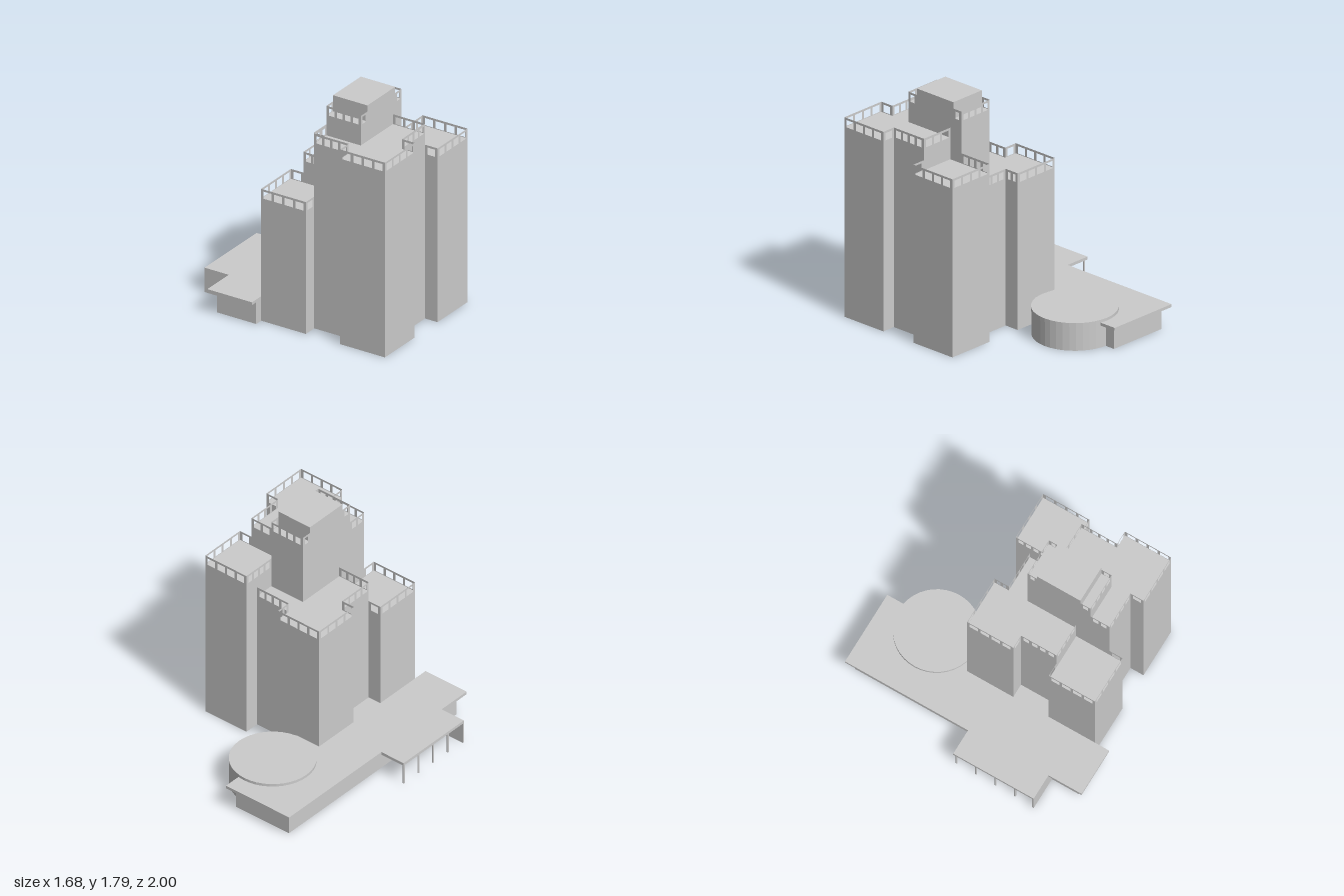
import * as THREE from 'three';

const mat = new THREE.MeshStandardMaterial({ color: 0xcccccc, side: THREE.DoubleSide, flatShading: true });
const RAIL = 0.08; // parapet height above each roof

function add(parent, name, geometry, x = 0, y = 0, z = 0) {
  const mesh = new THREE.Mesh(geometry, mat);
  mesh.name = name;
  mesh.position.set(x, y, z);
  parent.add(mesh);
  return mesh;
}

// Plan outline given as [x, z] points
const plan = (pts) => new THREE.Shape(pts.map(([x, z]) => new THREE.Vector2(x, -z)));

function rect(PathType, x0, y0, x1, y1) {
  const p = new PathType();
  p.moveTo(x0, y0).lineTo(x1, y0).lineTo(x1, y1).lineTo(x0, y1).closePath();
  return p;
}

// Upright wall from plan point a to b; a railed wall gets a row of openings at its top
function wall(parent, name, a, b, top, railed) {
  const dx = b[0] - a[0], dz = b[1] - a[1], len = Math.hypot(dx, dz);
  const shape = rect(THREE.Shape, 0, 0, len, top);
  if (railed) {
    const n = Math.max(1, Math.min(4, Math.round(len / 0.08)));
    const gap = 0.022, w = (len - gap * (n + 1)) / n;
    for (let i = 0; i < n; i++) {
      const x = gap + i * (w + gap);
      shape.holes.push(rect(THREE.Path, x, top - 0.075, x + w, top - 0.017));
    }
  }
  const mesh = add(parent, name, new THREE.ShapeGeometry(shape), a[0], 0, a[1]);
  mesh.rotation.y = Math.atan2(-dz, dx);
}

// Tower from an outline of [x, z, edge]; edge to the next point: 0 shared with a neighbour, 1 railed, 2 plain
function tower(parent, name, top, pts) {
  const g = new THREE.Group();
  g.name = name;
  pts.forEach((p, i) => {
    if (p[2]) wall(g, 'wall', p, pts[(i + 1) % pts.length], p[2] === 1 ? top : top - RAIL, p[2] === 1);
  });
  add(g, 'roof', new THREE.ShapeGeometry(plan(pts)).rotateX(-Math.PI / 2), 0, top - RAIL);
  parent.add(g);
}

export function createModel() {
  const model = new THREE.Group();
  model.name = 'towerComplex';

  // Towers around the core
  tower(model, 'frontLeftTower', 1.58, [
    [0.84, 0.88, 1], [0.84, 0.49, 1], [0.73, 0.49, 1], [0.73, 0.19, 1], [0.45, 0.19, 0],
    [0.45, 0.61, 0], [0.15, 0.61, 1], [0.15, 0.77, 1], [0.45, 0.77, 1], [0.45, 0.88, 1]]);
  tower(model, 'backRightTower', 1.24, [
    [-0.24, -0.2, 1], [-0.24, 0.19, 1], [-0.13, 0.19, 1], [-0.13, 0.49, 1], [0.15, 0.49, 0],
    [0.15, 0.08, 0], [0.45, 0.08, 0], [0.45, -0.08, 1], [0.15, -0.08, 1], [0.15, -0.2, 1]]);
  tower(model, 'backLeftTower', 1.41, [
    [0.84, 0.19, 1], [0.84, -0.2, 1], [0.45, -0.2, 1], [0.45, 0.08, 0], [0.45, 0.19, 0], [0.73, 0.19, 1]]);
  tower(model, 'frontRightTower', 1.07, [
    [-0.24, 0.88, 1], [0.15, 0.88, 1], [0.15, 0.77, 0], [0.15, 0.49, 0], [-0.13, 0.49, 1], [-0.24, 0.49, 1]]);

  // Central core with its roof block
  tower(model, 'coreTower', 1.74, [
    [0.15, 0.61, 1], [0.45, 0.61, 1], [0.45, 0.525, 2], [0.45, 0.16, 1],
    [0.45, 0.08, 1], [0.15, 0.08, 1], [0.15, 0.16, 2], [0.15, 0.525, 1]]);
  add(model, 'coreRoofBlock', new THREE.BoxGeometry(0.3, 0.13, 0.365), 0.3, 1.725, 0.3425);

  // Podium roof slab with the entrance canopy
  const slab = plan([
    [-0.63, 1], [-0.24, 1], [-0.24, 0.49], [-0.13, 0.49], [-0.13, 0.19], [-0.24, 0.19], [-0.24, -0.2],
    [-0.03, -0.2], [-0.03, -1], [-0.63, -1], [-0.63, 0.04], [-0.84, 0.04], [-0.84, 0.72], [-0.63, 0.72]]);
  add(model, 'podiumRoof',
    new THREE.ExtrudeGeometry(slab, { depth: 0.023, bevelEnabled: false }).rotateX(-Math.PI / 2), 0, 0.175);

  // Podium walls, set back under the slab and open where the round hall joins
  const paths = [
    [[-0.08, -0.2], [-0.08, -0.23]],
    [[-0.08, -0.865], [-0.08, -0.945], [-0.58, -0.945], [-0.58, 0.945], [-0.24, 0.945], [-0.24, 0.88]]];
  for (const path of paths)
    for (let i = 0; i + 1 < path.length; i++) wall(model, 'podiumWall', path[i], path[i + 1], 0.175, false);

  // Canopy end wall and posts
  add(model, 'canopyWall', new THREE.BoxGeometry(0.26, 0.18, 0.012), -0.71, 0.09, 0.714);
  for (let i = 0; i < 4; i++)
    add(model, 'canopyPost', new THREE.CylinderGeometry(0.008, 0.008, 0.175, 8), -0.825, 0.0875, 0.06 + i * 0.165);

  // Round hall: half-round wall under a full disc roof
  add(model, 'hallWall', new THREE.CylinderGeometry(0.317, 0.317, 0.2, 20, 1, true, 0, Math.PI), -0.09, 0.1, -0.545);
  add(model, 'hallRoof', new THREE.CylinderGeometry(0.32, 0.32, 0.03, 40), -0.09, 0.205, -0.545);

  return model;
}
